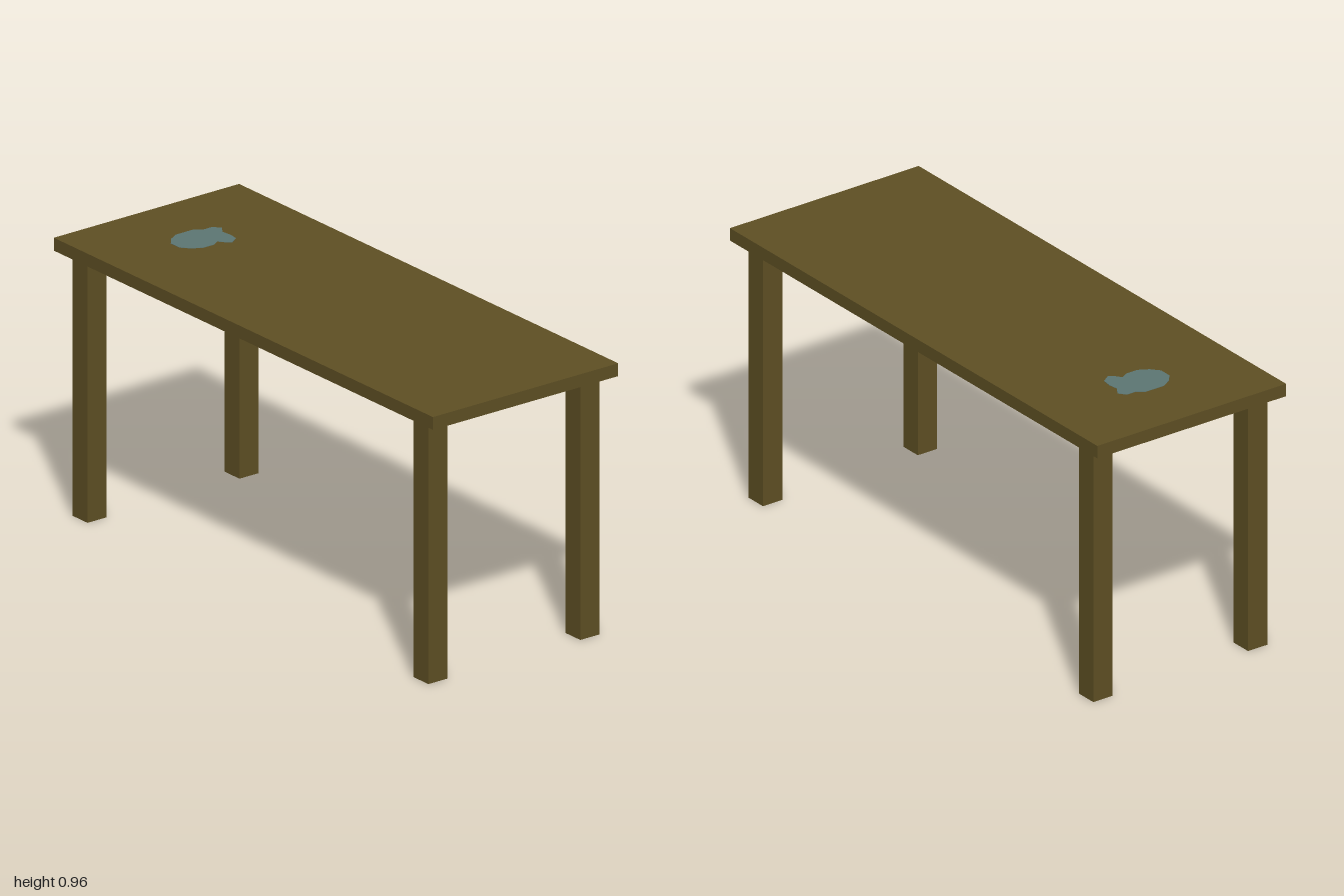
import * as THREE from 'three';

export function createModel() {
  const model = new THREE.Group();
  model.name = 'table';

  const wood = new THREE.MeshStandardMaterial({ color: 0x5f5024, side: THREE.DoubleSide, flatShading: true });
  wood.name = 'brown wood';
  const stain = new THREE.MeshStandardMaterial({ color: 0x5d7673 });
  stain.name = 'grey blue stain';

  const add = (geometry, material, name, x, y, z) => {
    const mesh = new THREE.Mesh(geometry, material);
    mesh.name = name;
    mesh.position.set(x, y, z);
    model.add(mesh);
    return mesh;
  };

  // Table top slab
  const topY = 0.962, underY = 0.917;
  add(new THREE.BoxGeometry(2, topY - underY, 0.766), wood, 'tableTop', 0, (topY + underY) / 2, 0);

  // Four square hollow legs, open at the foot
  const legGeometry = new THREE.CylinderGeometry(0.0785 / Math.SQRT2, 0.0785 / Math.SQRT2, underY, 4, 1, true, Math.PI / 4);
  for (const [sx, side] of [[1, 'Left'], [-1, 'Right']]) {
    for (const [sz, end] of [[1, 'front'], [-1, 'back']]) {
      add(legGeometry, wood, `${end}${side}Leg`, sx * 0.899, underY / 2, sz * 0.314);
    }
  }

  // Irregular stain outline as (x, z)
  const outline = [
    [-0.775, -0.02], [-0.755, -0.045], [-0.755, -0.08], [-0.73, -0.1], [-0.70, -0.08], [-0.665, -0.085],
    [-0.63, -0.08], [-0.61, -0.05], [-0.625, -0.03], [-0.645, -0.015], [-0.63, 0.01], [-0.63, 0.055],
    [-0.65, 0.09], [-0.68, 0.115], [-0.725, 0.115], [-0.755, 0.09], [-0.775, 0.055],
  ];
  const shape = new THREE.Shape(outline.map(([x, z]) => new THREE.Vector2(x, -z)));
  const stainGeometry = new THREE.ExtrudeGeometry(shape, { depth: 0.002, bevelEnabled: false });
  stainGeometry.rotateX(-Math.PI / 2);

  // One stain on top, and its half-turned twin on the underside
  add(stainGeometry, stain, 'topStain', 0, topY - 0.001, 0);
  add(stainGeometry, stain, 'undersideStain', 0, underY - 0.001, 0).rotation.y = Math.PI;

  return model;
}
